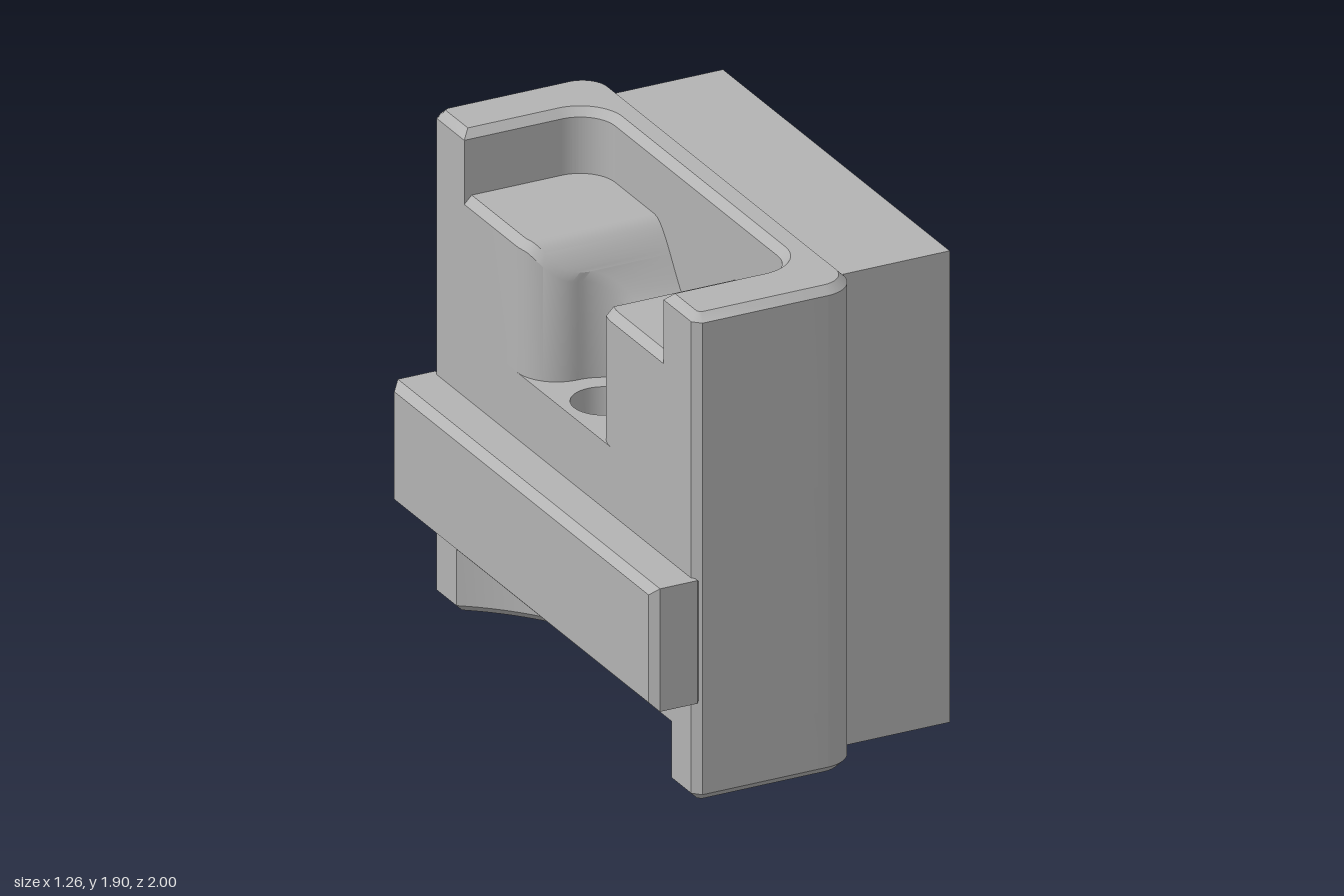
import * as THREE from 'three';
import { toCreasedNormals } from 'three/addons/utils/BufferGeometryUtils.js';

const C = 0.03; // chamfer size
const PI = Math.PI;

// Outer plan of the body, left open on the -x side for each layer's own cut
function outerPlan() {
  const s = new THREE.Shape();
  s.moveTo(-0.43, -1);
  s.lineTo(0, -1);
  s.absarc(0.07, -0.87, 0.13, -PI / 2, 0, false);
  s.absarc(0.07, 0.87, 0.13, 0, PI / 2, false);
  s.lineTo(-0.43, 1);
  s.lineTo(-0.46, 0.97);
  return s;
}

// Extrude between two levels, with optional chamfers at both ends
function extrude(shape, low, high, chamfer) {
  const g = new THREE.ExtrudeGeometry(shape, {
    depth: high - low - (chamfer ? 2 * C : 0), curveSegments: 24,
    bevelEnabled: chamfer, bevelSegments: 1,
    bevelSize: C, bevelThickness: C, bevelOffset: -C,
  });
  g.translate(0, 0, low + (chamfer ? C : 0));
  return g;
}

// Pocket floor: two raised pads, a smooth saddle and the screw slot wall
function pocketFloor() {
  const half = [];
  for (let i = 0; i <= 16; i++) half.push(0.2 * Math.sin((i / 16) * PI / 2));
  for (let i = 1; i <= 12; i++) half.push(0.36 - 0.16 * Math.cos((i / 12) * PI / 2));
  half.push(0.765);
  const zs = [...half.slice(1).reverse().map((z) => -z), ...half];

  const slotEdge = (a) => {
    if (a <= 0.2) return -0.3 + Math.sqrt(Math.max(0, 0.04 - a * a));
    if (a < 0.36) return -0.3 - Math.sqrt(Math.max(0, 0.0256 - (0.36 - a) ** 2));
    return -0.46;
  };
  const pos = [], idx = [];
  zs.forEach((z, i) => {
    const a = Math.abs(z), x = slotEdge(a);
    const y = 1.38 + 0.27 * THREE.MathUtils.smoothstep(a, 0.04, 0.32);
    pos.push(x, 1.12, z, x, y - C, z, x + C, y, z, 0.09, y, z);
    if (i === zs.length - 1) return;
    for (let j = 0; j < 3; j++) {
      const p = i * 4 + j, q = p + 4;
      idx.push(p, q, p + 1, q, q + 1, p + 1);
    }
  });
  const g = new THREE.BufferGeometry();
  g.setAttribute('position', new THREE.Float32BufferAttribute(pos, 3));
  g.setIndex(idx);
  g.computeVertexNormals();
  return g;
}

export function createModel() {
  const group = new THREE.Group();
  const grey = new THREE.MeshStandardMaterial({ color: 0xb3b3b3 });
  grey.name = 'grey';
  const add = (name, geometry) => {
    const mesh = new THREE.Mesh(toCreasedNormals(geometry, 0.55), grey);
    mesh.name = name;
    group.add(mesh);
  };
  const upright = (g) => g.rotateX(-PI / 2);

  // Foot with a wide arc cut from the -x side
  const foot = outerPlan();
  const a = Math.atan2(0.82, 0.59);
  foot.lineTo(-0.46, 0.82);
  foot.absarc(-1.05, 0, Math.hypot(0.82, 0.59), a, -a, true);
  foot.lineTo(-0.46, -0.97);
  add('foot', upright(extrude(foot, 0, 0.28, true)));

  // Solid core with the screw hole
  const core = outerPlan();
  core.lineTo(-0.46, -0.97);
  const hole = new THREE.Path();
  hole.absarc(-0.3, 0, 0.12, 0, 2 * PI, true);
  core.holes.push(hole);
  add('core', upright(extrude(core, 0.25, 1.13, false)));

  // Rim around the pocket, open towards -x
  const rim = outerPlan();
  rim.lineTo(-0.46, 0.76);
  rim.absarc(-0.07, 0.62, 0.14, PI / 2, 0, true);
  rim.absarc(-0.07, -0.62, 0.14, 0, -PI / 2, true);
  rim.lineTo(-0.46, -0.76);
  rim.lineTo(-0.46, -0.97);
  add('pocketRim', upright(extrude(rim, 1.1, 1.9, true)));

  add('pocketFloor', pocketFloor());

  // Locating rail along the -x face
  const rail = new THREE.Shape([[-1, 0.39], [1, 0.39], [1, 0.87], [-1, 0.87]]
    .map(([x, y]) => new THREE.Vector2(x, y)));
  add('rail', extrude(rail, 0.42, 0.63, true).rotateY(-PI / 2));

  // Plain block on the +x face
  add('block', new THREE.BoxGeometry(0.45, 1.84, 1.73).translate(0.405, 0.95, 0));

  return group;
}
